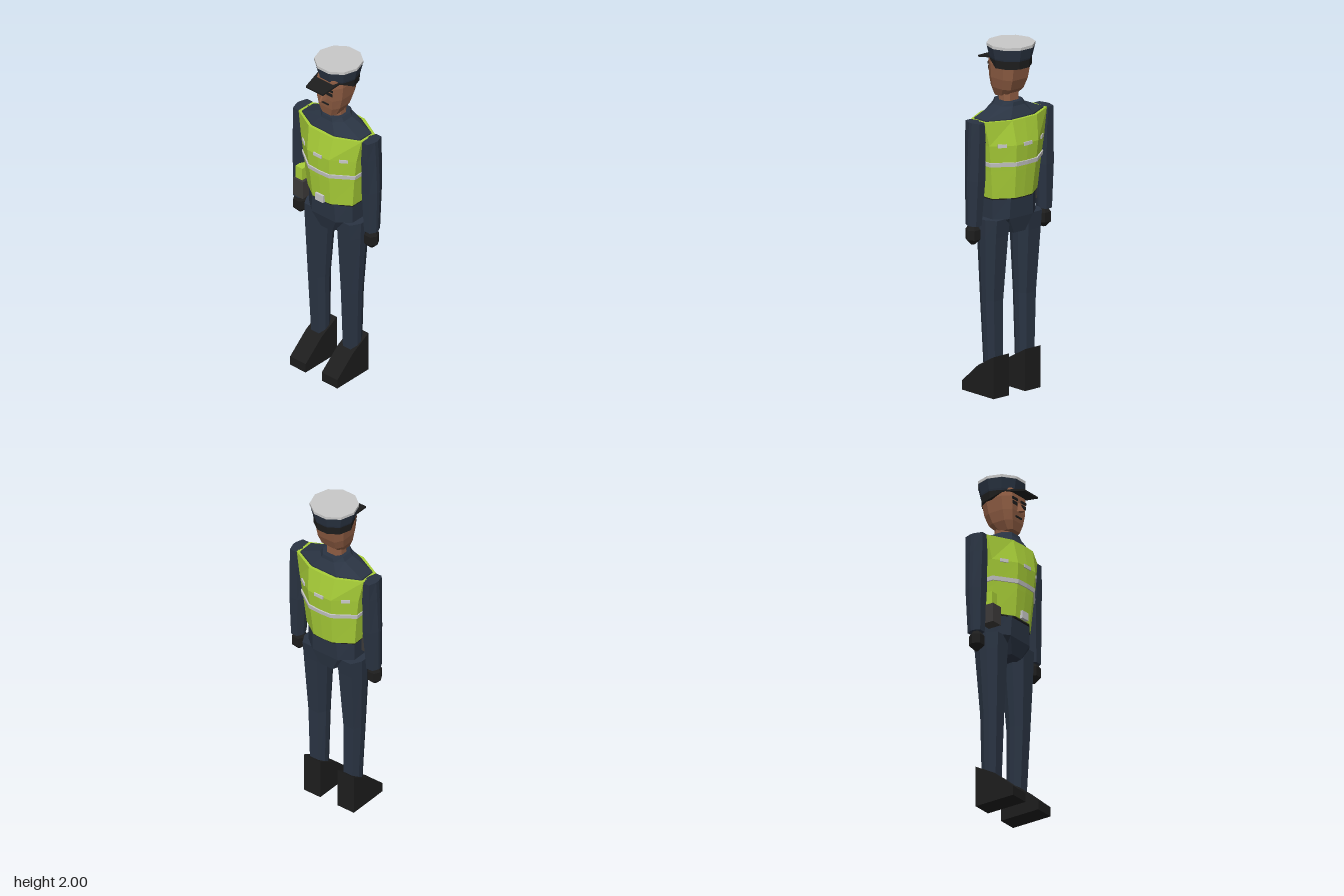
import * as THREE from 'three';

const mat = (name, color) => Object.assign(new THREE.MeshStandardMaterial({ color }), { name });

// Ten-point body cross-section at height y: half width w, front zf, back zb.
// fx = width of the front flat, fz = depth of the side flat, bump = raised centre line.
function ring(y, w, zf, zb, { cx = 0, fx = 0.39, fz = 0.43, bump = 0 } = {}) {
  const zc = (zf + zb) / 2, h = ((zf - zb) / 2) * fz;
  const half = [[0, zf + bump], [fx * w, zf], [w, zc + h], [w, zc - h], [fx * w, zb], [0, zb - bump]];
  const mirrored = half.slice(1, 5).reverse().map(([x, z]) => [-x, z]);
  return [...half, ...mirrored].map(([x, z]) => [cx + x, y, z]);
}

// Regular polygon cross-section with corners on the x axis
function disc(y, r, zc, n = 10, lift = () => 0) {
  return Array.from({ length: n }, (_, i) => {
    const a = ((i + 0.5) / n) * Math.PI * 2;
    const x = Math.sin(a) * r, z = Math.cos(a) * r;
    return [x, y + lift(z), zc + z];
  });
}

// Faceted skin through the rings, capped at both ends
function loft(rings) {
  const pos = [], n = rings[0].length;
  const tri = (...p) => p.forEach((q) => pos.push(...q));
  const centre = (r) => [0, 1, 2].map((k) => r.reduce((s, p) => s + p[k], 0) / n);
  const lo = rings[0], hi = rings[rings.length - 1], cl = centre(lo), ch = centre(hi);
  for (let i = 0; i < n; i++) {
    const j = (i + 1) % n;
    for (let k = 0; k < rings.length - 1; k++) {
      const a = rings[k], b = rings[k + 1];
      tri(a[i], a[j], b[j]);
      tri(a[i], b[j], b[i]);
    }
    tri(cl, lo[j], lo[i]);
    tri(ch, hi[i], hi[j]);
  }
  const g = new THREE.BufferGeometry();
  g.setAttribute('position', new THREE.Float32BufferAttribute(pos, 3));
  g.computeVertexNormals();
  return g;
}

export function createModel() {
  const model = new THREE.Group();
  model.name = 'uniformedFigure';
  const navy = mat('navy cloth', 0x2a3443);
  const green = mat('high visibility green', 0xa9cf38);
  const black = mat('black leather', 0x1d1d1d);
  const grey = mat('reflective grey', 0xc8c8c8);
  const skin = mat('skin', 0x8f5d43);
  const dark = mat('pouch grey', 0x3d3b3a);

  const add = (name, geometry, material) => {
    const m = new THREE.Mesh(geometry, material);
    m.name = name;
    model.add(m);
    return m;
  };
  const box = (name, material, w, h, d, x, y, z) => {
    const m = add(name, new THREE.BoxGeometry(w, h, d), material);
    m.position.set(x, y, z);
    return m;
  };

  // Hips, shoulders and collar
  add('hips', loft([
    ring(0.93, 0.06, 0.07, -0.1, { fx: 0.7 }),
    ring(1.02, 0.16, 0.095, -0.115, { fx: 0.55 }),
    ring(1.16, 0.16, 0.1, -0.12, { fx: 0.5 }),
  ]), navy);
  add('shoulders', loft([
    ring(1.56, 0.216, 0.1, -0.125),
    ring(1.595, 0.214, 0.098, -0.123),
    ring(1.65, 0.085, 0.07, -0.092, { fx: 0.5 }),
    ring(1.672, 0.07, 0.065, -0.088, { fx: 0.5 }),
  ]), navy);

  // Vest: outer skin, top rim, then the inside
  const bump = 0.004;
  add('vest', loft([
    ring(1.14, 0.168, 0.112, -0.132, { bump }),
    ring(1.3, 0.185, 0.128, -0.15, { bump }),
    ring(1.45, 0.205, 0.14, -0.165, { bump }),
    ring(1.59, 0.233, 0.115, -0.142, { bump }),
    ring(1.59, 0.217, 0.1, -0.126),
    ring(1.565, 0.214, 0.1, -0.126),
  ]), green);
  add('belt', loft([
    ring(1.132, 0.165, 0.108, -0.128),
    ring(1.146, 0.165, 0.108, -0.128),
  ]), black);
  box('buckle', grey, 0.056, 0.045, 0.02, 0, 1.162, 0.122);

  // Reflective tape: a full band and short upper patches
  add('reflectiveBand', loft([
    ring(1.328, 0.195, 0.137, -0.161, { bump }),
    ring(1.352, 0.198, 0.14, -0.164, { bump }),
  ]), grey);
  box('frontPatch', grey, 0.06, 0.02, 0.008, 0, 1.45, 0.144);
  box('backPatch', grey, 0.06, 0.02, 0.008, 0, 1.45, -0.169);
  for (const s of [-1, 1]) {
    box('frontSidePatch', grey, 0.05, 0.02, 0.008, s * 0.147, 1.45, 0.094).rotation.y = s * 0.61;
    box('backSidePatch', grey, 0.05, 0.02, 0.008, s * 0.147, 1.45, -0.12).rotation.y = s * (Math.PI - 0.61);
  }

  // Pouch with its green flap on the right hip
  box('pouch', dark, 0.072, 0.11, 0.08, -0.2, 1.11, 0.043);
  box('pouchFlap', green, 0.05, 0.075, 0.06, -0.205, 1.203, 0.04);

  const bootProfile = new THREE.Shape([[-0.08, 0], [0.175, 0], [0.175, 0.055], [0.045, 0.17], [-0.08, 0.24]]
    .map(([z, y]) => new THREE.Vector2(z, y)));

  for (const s of [-1, 1]) {
    const side = s > 0 ? 'left' : 'right';
    // Arms and hands
    const arm = (cx) => ({ cx: s * cx, fx: 0.55, fz: 0.2 });
    add(side + 'Arm', loft([
      ring(1.0, 0.038, 0.03, -0.055, arm(0.262)),
      ring(1.26, 0.05, 0.035, -0.07, arm(0.255)),
      ring(1.48, 0.044, 0.04, -0.075, arm(0.253)),
      ring(1.59, 0.034, 0.04, -0.075, arm(0.256)),
    ]), navy);
    const hand = add(side + 'Hand', loft([
      disc(0.89, 0.012, 0, 6), disc(0.92, 0.043, 0, 6), disc(0.975, 0.043, 0, 6), disc(1.005, 0.02, 0, 6),
    ]), black);
    hand.position.set(s * 0.263, 0, -0.008);

    // Trouser legs
    const leg = (cx) => ({ cx: s * cx, fx: 0.6, fz: 0.3 });
    add(side + 'Leg', loft([
      ring(0.15, 0.047, 0.034, -0.06, leg(0.117)),
      ring(0.55, 0.058, 0.05, -0.062, leg(0.122)),
      ring(0.92, 0.076, 0.064, -0.09, leg(0.121)),
      ring(1.02, 0.081, 0.067, -0.1, leg(0.119)),
    ]), navy);

    // Boots
    const boot = new THREE.ExtrudeGeometry(bootProfile, { depth: 0.115, bevelEnabled: false });
    boot.rotateY(-Math.PI / 2).translate(s * 0.117 + 0.0575, 0, 0);
    add(side + 'Boot', boot, black);

    // Eyes and brows
    box(side + 'Eye', black, 0.04, 0.018, 0.006, s * 0.039, 1.842, 0.088);
    box(side + 'Brow', black, 0.046, 0.013, 0.008, s * 0.039, 1.868, 0.088);
  }

  // Neck, head, nose and mouth
  add('neck', loft([
    ring(1.65, 0.052, 0.037, -0.058, { fx: 0.6 }),
    ring(1.73, 0.05, 0.035, -0.056, { fx: 0.6 }),
  ]), skin);
  const face = { fx: 0.67, fz: 0.5 };
  add('head', loft([
    ring(1.69, 0.048, 0.07, -0.03, face),
    ring(1.74, 0.072, 0.08, -0.08, face),
    ring(1.8, 0.085, 0.086, -0.105, face),
    ring(1.88, 0.092, 0.087, -0.12, face),
    ring(1.93, 0.085, 0.08, -0.12, face),
  ]), skin);
  add('nose', loft([
    [[-0.006, 1.795, 0.124], [0.006, 1.795, 0.124], [0.018, 1.8, 0.08], [-0.018, 1.8, 0.08]],
    [[-0.004, 1.855, 0.089], [0.004, 1.855, 0.089], [0.008, 1.855, 0.08], [-0.008, 1.855, 0.08]],
  ]), skin);
  box('mouth', black, 0.056, 0.009, 0.008, 0, 1.768, 0.084);

  // Peaked cap: band dipping at the back, crown, pale top and peak
  const dip = (z) => (z < 0.03 ? -0.033 : 0);
  add('capBand', loft([disc(1.903, 0.115, -0.03, 10, dip), disc(1.925, 0.117, -0.03)]), black);
  add('capCrown', loft([disc(1.905, 0.113, -0.03), disc(1.925, 0.12, -0.03), disc(1.984, 0.134, -0.03)]), navy);
  add('capTop', loft([disc(1.984, 0.136, -0.03), disc(2.0, 0.136, -0.03)]), grey);
  const peak = (t) => [[-0.063, 1.883 + t, 0.17], [0.063, 1.883 + t, 0.17],
    [0.082, 1.908 + t, 0.05], [-0.082, 1.908 + t, 0.05]];
  add('capPeak', loft([peak(0), peak(0.01)]), black);

  return model;
}
